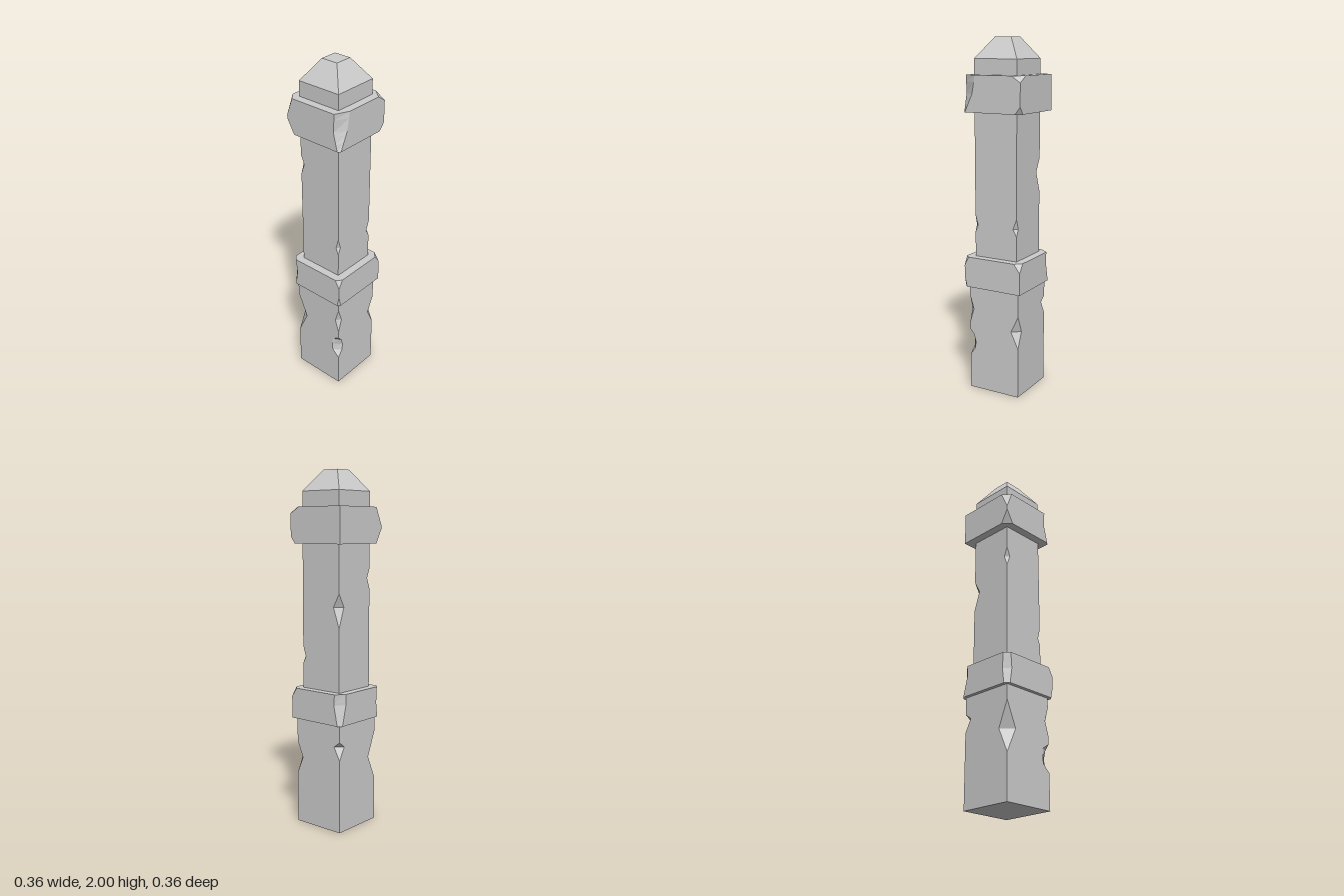
import * as THREE from 'three';

// Corner signs, counter-clockwise seen from above
const CORNERS = { frontLeft: [1, 1], backLeft: [1, -1], backRight: [-1, -1], frontRight: [-1, 1] };

// Linear interpolation of chip keys [y, cutX, cutZ]; no cut outside their range
function cutAt(keys, y) {
  for (let i = 0; i + 1 < keys.length; i++) {
    const [a, ax, az] = keys[i], [b, bx, bz] = keys[i + 1];
    if (y >= a && y <= b) {
      const t = (y - a) / (b - a);
      return [ax + (bx - ax) * t, az + (bz - az) * t];
    }
  }
  return [0, 0];
}

// Square block whose vertical edges are chipped, built from eight-point rings
function chippedBlock(name, half, y0, y1, chips, material) {
  const levels = new Set([y0, y1]);
  Object.values(chips).forEach(keys => keys.forEach(k => levels.add(k[0])));
  const rings = [...levels].sort((a, b) => a - b).map(y => {
    const ring = [];
    for (const [corner, [sx, sz]] of Object.entries(CORNERS)) {
      const [cx, cz] = cutAt(chips[corner] ?? [], y);
      const alongX = new THREE.Vector3(sx * (half - cx), y, sz * half);
      const alongZ = new THREE.Vector3(sx * half, y, sz * (half - cz));
      ring.push(...(sx * sz > 0 ? [alongX, alongZ] : [alongZ, alongX]));
    }
    return ring;
  });

  const points = [];
  const tri = (a, b, c) => {
    if (new THREE.Triangle(a, b, c).getArea() > 1e-8) points.push(a, b, c);
  };
  const bottom = new THREE.Vector3(0, y0, 0), top = new THREE.Vector3(0, y1, 0);
  for (let i = 0; i < 8; i++) {
    const j = (i + 1) % 8;
    for (let r = 0; r + 1 < rings.length; r++) {
      const lo = rings[r], hi = rings[r + 1];
      tri(lo[i], lo[j], hi[j]);
      tri(lo[i], hi[j], hi[i]);
    }
    tri(bottom, rings[0][j], rings[0][i]);
    tri(top, rings.at(-1)[i], rings.at(-1)[j]);
  }
  const geometry = new THREE.BufferGeometry().setFromPoints(points);
  geometry.computeVertexNormals();
  const mesh = new THREE.Mesh(geometry, material);
  mesh.name = name;
  return mesh;
}

export function createModel() {
  const group = new THREE.Group();
  group.name = 'stonePost';
  const stone = new THREE.MeshStandardMaterial({ color: 0xcccccc, flatShading: true });

  // Wide foot of the post
  group.add(chippedBlock('base', 0.157, 0, 0.615, {
    frontLeft: [[0.2, 0, 0], [0.24, 0.045, 0.03], [0.28, 0.048, 0.037], [0.325, 0.045, 0.025], [0.355, 0, 0],
      [0.4, 0, 0], [0.48, 0.025, 0.025], [0.56, 0, 0]],
    backLeft: [[0.29, 0, 0], [0.385, 0.04, 0.045], [0.48, 0, 0]],
    backRight: [[0.415, 0, 0], [0.49, 0.04, 0.04], [0.52, 0, 0]],
    frontRight: [[0.25, 0, 0], [0.385, 0.062, 0.06], [0.53, 0, 0]],
  }, stone));

  // Band around the middle
  group.add(chippedBlock('lowerCollar', 0.178, 0.615, 0.79, {
    frontLeft: [[0.615, 0.015, 0.015], [0.68, 0, 0], [0.74, 0, 0], [0.79, 0.028, 0.028]],
    backLeft: [[0.74, 0, 0], [0.79, 0.035, 0.037]],
    backRight: [[0.615, 0.02, 0.02], [0.73, 0.045, 0.05], [0.79, 0.04, 0.05]],
    frontRight: [[0.615, 0.022, 0.025], [0.7, 0.035, 0.035], [0.79, 0.028, 0.03]],
  }, stone));

  // Slimmer shaft
  group.add(chippedBlock('shaft', 0.132, 0.79, 1.6, {
    frontLeft: [[0.93, 0, 0], [0.97, 0.016, 0.018], [1.03, 0, 0]],
    backLeft: [[0.93, 0, 0], [0.97, 0.02, 0.022], [1.03, 0, 0]],
    backRight: [[1.145, 0, 0], [1.26, 0.04, 0.04], [1.335, 0, 0]],
    frontRight: [[1.35, 0, 0], [1.41, 0.022, 0.022], [1.465, 0, 0]],
  }, stone));

  // Band below the cap
  group.add(chippedBlock('upperCollar', 0.178, 1.6, 1.8, {
    frontLeft: [[1.6, 0.015, 0.012], [1.7, 0.04, 0.06], [1.8, 0.035, 0.078]],
    backLeft: [[1.6, 0.03, 0.033], [1.64, 0, 0], [1.765, 0, 0], [1.8, 0.06, 0.053]],
    frontRight: [[1.6, 0.045, 0.045], [1.68, 0, 0], [1.7, 0, 0], [1.8, 0.037, 0.046]],
  }, stone));

  // Neck and truncated pyramid on top
  group.add(chippedBlock('neck', 0.132, 1.8, 1.885, {}, stone));
  const cap = new THREE.Mesh(
    new THREE.CylinderGeometry(0.05 * Math.SQRT2, 0.132 * Math.SQRT2, 0.115, 4).rotateY(Math.PI / 4), stone);
  cap.name = 'cap';
  cap.position.y = 1.9425;
  group.add(cap);
  return group;
}
